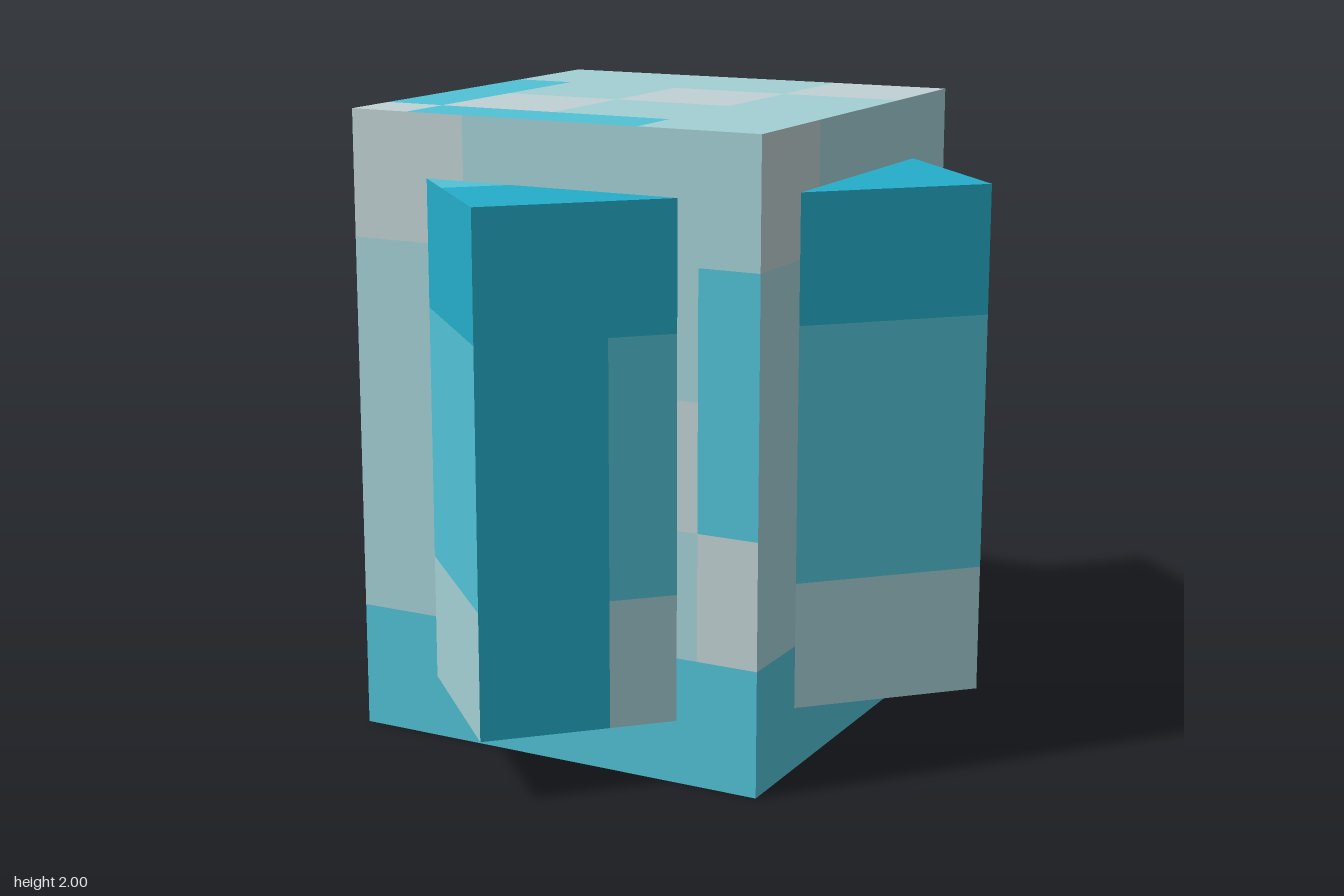
import * as THREE from 'three';
import { mergeGeometries } from 'three/addons/utils/BufferGeometryUtils.js';

const CELL = 0.2;

// Surface patterns, one letter per cell, rows from top to bottom
const rows = (...pairs) => pairs.flatMap(([count, row]) => Array(count).fill(row));
const turnedHalf = (pattern) => [...pattern].reverse().map((r) => [...r].reverse().join(''));

const WIDE_SIDE = rows([2, 'DDDDDDDD'], [4, 'DDCCCCCC'], [2, 'DDPPPPPP']);
const TALL_SIDE = rows([2, 'GGPPPPP'], [2, 'PPGGPPC'], [2, 'PPPPGGC'], [2, 'PPPPPPG'], [2, 'CCCCCCC']);
const TALL_CAP = rows([1, 'GCCCCPP'], [2, 'CGGPPPP'], [2, 'CPPGGPP'], [2, 'PPPPPGG']);

function material(name, color) {
  const m = new THREE.MeshStandardMaterial({ color });
  m.name = name;
  return m;
}

// A square block whose six faces are tiled with coloured cells
function patternedBlock(name, side, cap, materials) {
  const buckets = {};
  const width = side[0].length * CELL;
  const height = side.length * CELL;

  const addFace = (pattern, distance, rx, ry) => {
    const matrix = new THREE.Matrix4()
      .makeRotationFromEuler(new THREE.Euler(rx, ry, 0))
      .multiply(new THREE.Matrix4().makeTranslation(0, 0, distance));
    pattern.forEach((row, j) => [...row].forEach((key, i) => {
      const cell = new THREE.PlaneGeometry(CELL, CELL);
      cell.translate((i + 0.5 - row.length / 2) * CELL, (pattern.length / 2 - j - 0.5) * CELL, 0);
      cell.applyMatrix4(matrix);
      (buckets[key] ??= []).push(cell);
    }));
  };

  for (let k = 0; k < 4; k++) addFace(side, width / 2, 0, k * Math.PI / 2);
  addFace(cap, height / 2, -Math.PI / 2, 0); // top
  addFace(cap, height / 2, Math.PI / 2, 0); // bottom

  const block = new THREE.Group();
  block.name = name;
  for (const [key, cells] of Object.entries(buckets)) {
    const mesh = new THREE.Mesh(mergeGeometries(cells), materials[key]);
    mesh.name = `${name} ${materials[key].name} panels`;
    block.add(mesh);
  }
  block.position.y = 1;
  return block;
}

export function createModel() {
  const materials = {
    D: material('deep blue', 0x24adca),
    C: material('cyan', 0x52c2d6),
    P: material('pale teal', 0xa3d0d5),
    G: material('light grey', 0xc1d1d3),
  };

  const model = new THREE.Group();
  model.name = 'interlocking blocks';

  // Wide cube, square to the front
  const wide = patternedBlock('wideBlock', WIDE_SIDE, turnedHalf(WIDE_SIDE), materials);

  // Tall block, turned an eighth and pushed through the cube
  const tall = patternedBlock('tallBlock', TALL_SIDE, TALL_CAP, materials);
  tall.rotation.y = Math.PI / 4;

  model.add(wide, tall);
  return model;
}
